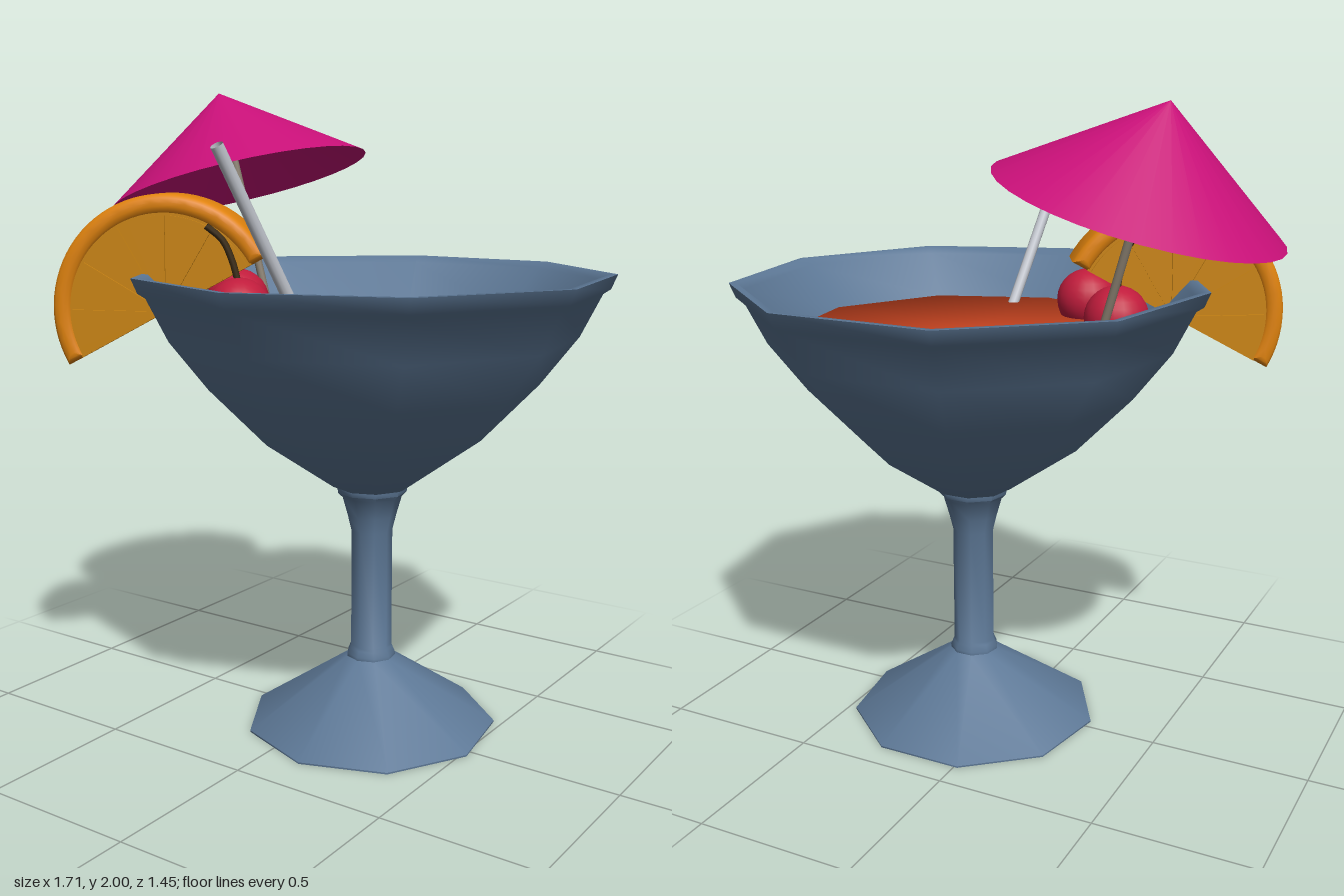
import * as THREE from 'three';
import { toCreasedNormals } from 'three/addons/utils/BufferGeometryUtils.js';

const mat = (color, side = THREE.FrontSide) => new THREE.MeshStandardMaterial({ color, side });
const v = (x, y, z) => new THREE.Vector3(x, y, z);

function part(parent, name, geometry, material) {
  const mesh = new THREE.Mesh(geometry, material);
  mesh.name = name;
  parent.add(mesh);
  return mesh;
}

const lathe = (points, sides) =>
  new THREE.LatheGeometry(points.map(([r, y]) => new THREE.Vector2(r, y)), sides);

// Straight cylinder between two points
function rod(parent, name, a, b, radius, material, open = false) {
  const mesh = part(parent, name,
    new THREE.CylinderGeometry(radius, radius, a.distanceTo(b), 12, 1, open), material);
  mesh.position.copy(a).lerp(b, 0.5);
  mesh.quaternion.setFromUnitVectors(v(0, 1, 0), b.clone().sub(a).normalize());
  return mesh;
}

// Ring or pie sector, extruded and centred on z = 0
function sector(rIn, rOut, a0, a1, depth, bevel) {
  const shape = new THREE.Shape();
  shape.absarc(0, 0, rOut, a0, a1, false);
  if (rIn > 0) shape.absarc(0, 0, rIn, a1, a0, true);
  else shape.lineTo(0, 0);
  const geo = new THREE.ExtrudeGeometry(shape, {
    depth: depth - 2 * bevel, curveSegments: 20, bevelEnabled: bevel > 0,
    bevelSize: bevel, bevelThickness: bevel, bevelOffset: -bevel, bevelSegments: 3,
  });
  geo.translate(0, 0, bevel - depth / 2);
  return toCreasedNormals(geo, 0.6);
}

export function createModel() {
  const model = new THREE.Group();
  model.name = 'cocktail';

  // Nine-sided glass: foot, stem, bowl and inner wall
  const glass = new THREE.Group();
  glass.name = 'glass';
  glass.position.set(0.125, 0, -0.036);
  model.add(glass);
  part(glass, 'glassBody', toCreasedNormals(lathe([
    [0, 0], [0.4, 0], [0.4, 0.005], [0.078, 0.222], [0.078, 0.232], [0.07, 0.25],
    [0.066, 0.26], [0.066, 0.64], [0.078, 0.69], [0.095, 0.75], [0.11, 0.765], [0.112, 0.78],
    [0.125, 0.785], [0.337, 0.93], [0.513, 1.11], [0.63, 1.26], [0.695, 1.39], [0.718, 1.405],
    [0.737, 1.45], [0.715, 1.45], [0.695, 1.43], [0.57, 1.3], [0.3, 0.99], [0, 0.88],
  ], 9), 0.85), mat(0x5d7896));

  // Drink filling the bowl
  part(glass, 'drink', lathe([[0, 0.9], [0.29, 1.0], [0.568, 1.3], [0, 1.3]], 9), mat(0xc84420));

  // Straw leaning on the front rim
  rod(model, 'straw', v(0.235, 1.05, 0.27), v(0.133, 1.825, 0.71), 0.018,
    mat(0xc4c8d0, THREE.DoubleSide), true);

  // Tilted paper umbrella
  const umbrella = new THREE.Group();
  umbrella.name = 'umbrella';
  umbrella.position.set(-0.445, 1.7125, -0.107);
  umbrella.rotation.z = Math.atan2(0.1175, 0.41);
  model.add(umbrella);
  const canopy = new THREE.ConeGeometry(0.4265, 0.3, 32, 1, true);
  canopy.translate(0, 0.15, 0);
  part(umbrella, 'canopy', canopy, mat(0xc81078, THREE.DoubleSide));
  rod(umbrella, 'umbrellaStick', v(0, -0.55, 0), v(0, 0.28, 0), 0.013, mat(0x857b6c));

  // Half orange slice on the rim
  const slice = new THREE.Group();
  slice.name = 'orangeSlice';
  slice.position.set(-0.393, 1.337, 0.305);
  slice.rotation.set(0, 0.5, 0.5, 'YXZ');
  model.add(slice);
  const fleshMat = mat(0xca8412);
  part(slice, 'rind', sector(0.29, 0.352, 0, Math.PI, 0.159, 0.025), mat(0xe0830e));
  part(slice, 'pith', sector(0, 0.3, 0, Math.PI, 0.14, 0), fleshMat);
  for (let i = 0; i < 6; i++) {
    const a = (i * Math.PI) / 6;
    part(slice, 'fleshSegment', sector(0.012, 0.288, a + 0.012, a + Math.PI / 6 - 0.012, 0.154, 0), fleshMat);
  }

  // Two cherries floating in the drink, each with a bent stem
  const cherries = [
    { at: v(-0.11, 1.35, 0.325), lean: [-0.065, 0.065] },
    { at: v(-0.31, 1.35, 0.08), lean: [-0.06, -0.02] },
  ];
  for (const { at, lean: [x, z] } of cherries) {
    const cherry = new THREE.Group();
    cherry.name = 'cherry';
    cherry.position.copy(at);
    model.add(cherry);
    part(cherry, 'cherryFruit', new THREE.SphereGeometry(0.1, 20, 14), mat(0xc01c3c));
    const path = new THREE.CatmullRomCurve3([
      v(0, 0.08, 0), v(x * 0.2, 0.15, z * 0.2), v(x * 0.5, 0.21, z * 0.5), v(x, 0.25, z),
    ]);
    part(cherry, 'cherryStem', new THREE.TubeGeometry(path, 10, 0.01, 8), mat(0x3c2c14, THREE.DoubleSide));
  }

  return model;
}
